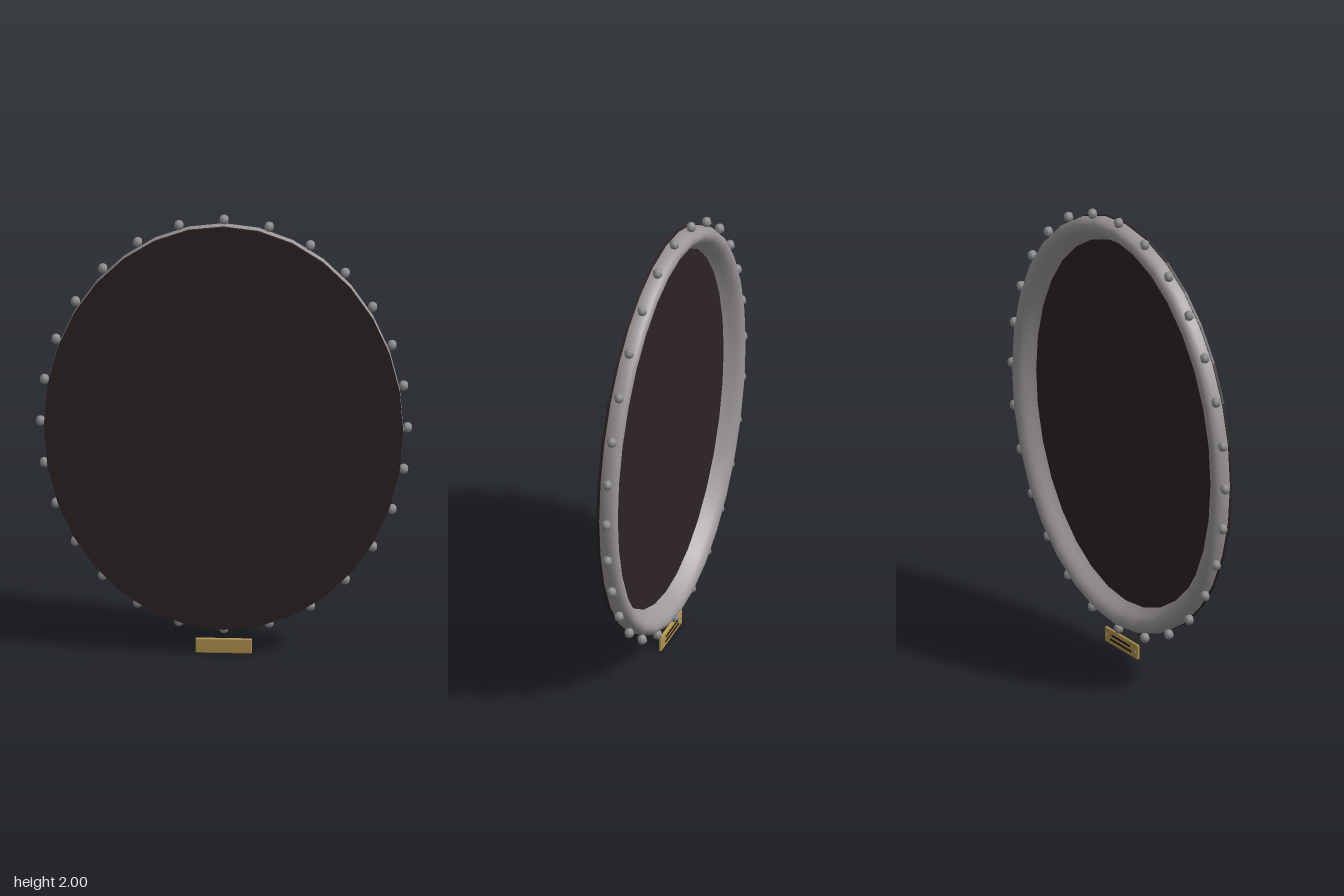
import * as THREE from 'three';
import { RoundedBoxGeometry } from 'three/addons/geometries/RoundedBoxGeometry.js';

const CY = 1.042, RX = 0.752, RY = 0.922, SEG = 32;

// Arched ring: [inset from the rim, z] pairs swept round the oval
function ovalRing(profile) {
  const pos = [], idx = [], m = profile.length;
  for (let i = 0; i < SEG; i++) {
    const a = (i / SEG) * Math.PI * 2;
    for (const [inset, z] of profile) {
      pos.push(Math.cos(a) * (RX - inset), Math.sin(a) * (RY - inset), z);
    }
    for (let j = 0; j < m - 1; j++) {
      const p = i * m + j, q = ((i + 1) % SEG) * m + j;
      idx.push(p, p + 1, q, q, p + 1, q + 1);
    }
  }
  const g = new THREE.BufferGeometry();
  g.setAttribute('position', new THREE.Float32BufferAttribute(pos, 3));
  g.setIndex(idx);
  g.computeVertexNormals();
  return g;
}

export function createModel() {
  const mat = (name, color, side = THREE.FrontSide) =>
    Object.assign(new THREE.MeshStandardMaterial({ color, side }), { name });
  const panelMat = mat('dark panel', 0x2d2323);
  const frameMat = mat('silver frame', 0x9b9698, THREE.DoubleSide);
  const beadMat = mat('grey bead', 0x8c8c8e);
  const brassMat = mat('brass', 0xb3954f);
  const inkMat = mat('engraving', 0x17120f);

  const model = new THREE.Group();
  model.name = 'ovalFrame';
  const add = (name, geo, material, x, y, z, parent = model) => {
    const mesh = new THREE.Mesh(geo, material);
    mesh.name = name;
    mesh.position.set(x, y, z);
    parent.add(mesh);
    return mesh;
  };

  // Flat oval panel
  const pts = [];
  for (let i = 0; i < SEG; i++) {
    const a = (i / SEG) * Math.PI * 2;
    pts.push(new THREE.Vector2(Math.cos(a) * RX, Math.sin(a) * RY));
  }
  const panel = new THREE.ExtrudeGeometry(new THREE.Shape(pts), { depth: 0.012, bevelEnabled: false });
  add('panel', panel, panelMat, 0, CY, 0.026);

  // Rounded moulding behind the panel
  const profile = [
    [0.003, 0.027], [0, 0.01], [0.002, -0.012], [0.01, -0.03], [0.024, -0.041], [0.04, -0.043],
    [0.056, -0.036], [0.07, -0.022], [0.083, -0.003], [0.094, 0.014], [0.105, 0.027],
  ];
  add('moulding', ovalRing(profile), frameMat, 0, CY, 0);

  // Beads evenly spaced along the rim
  const beads = new THREE.Group();
  beads.name = 'beads';
  model.add(beads);
  const beadGeo = new THREE.SphereGeometry(0.022, 6, 6).rotateY(Math.PI / 6);
  const path = new THREE.EllipseCurve(0, CY, 0.768, 0.936);
  path.getSpacedPoints(28).slice(0, 28).forEach((p) => add('bead', beadGeo, beadMat, p.x, p.y, -0.012, beads));

  // Small plaque under the frame, with plain engraved bars and pins on its back
  const plaque = new THREE.Group();
  plaque.name = 'plaque';
  plaque.position.set(0, 0.034, 0.006);
  model.add(plaque);
  add('plate', new RoundedBoxGeometry(0.238, 0.068, 0.013, 2, 0.006), brassMat, 0, 0, 0, plaque);
  for (const [w, y] of [[0.13, 0.011], [0.15, -0.01]]) {
    add('engravedBar', new THREE.BoxGeometry(w, 0.008, 0.003), inkMat, 0, y, -0.007, plaque);
  }
  const pinGeo = new THREE.CylinderGeometry(0.005, 0.005, 0.004, 8).rotateX(Math.PI / 2);
  for (const s of [-1, 1]) add('pin', pinGeo, beadMat, s * 0.103, 0, -0.008, plaque);

  return model;
}
